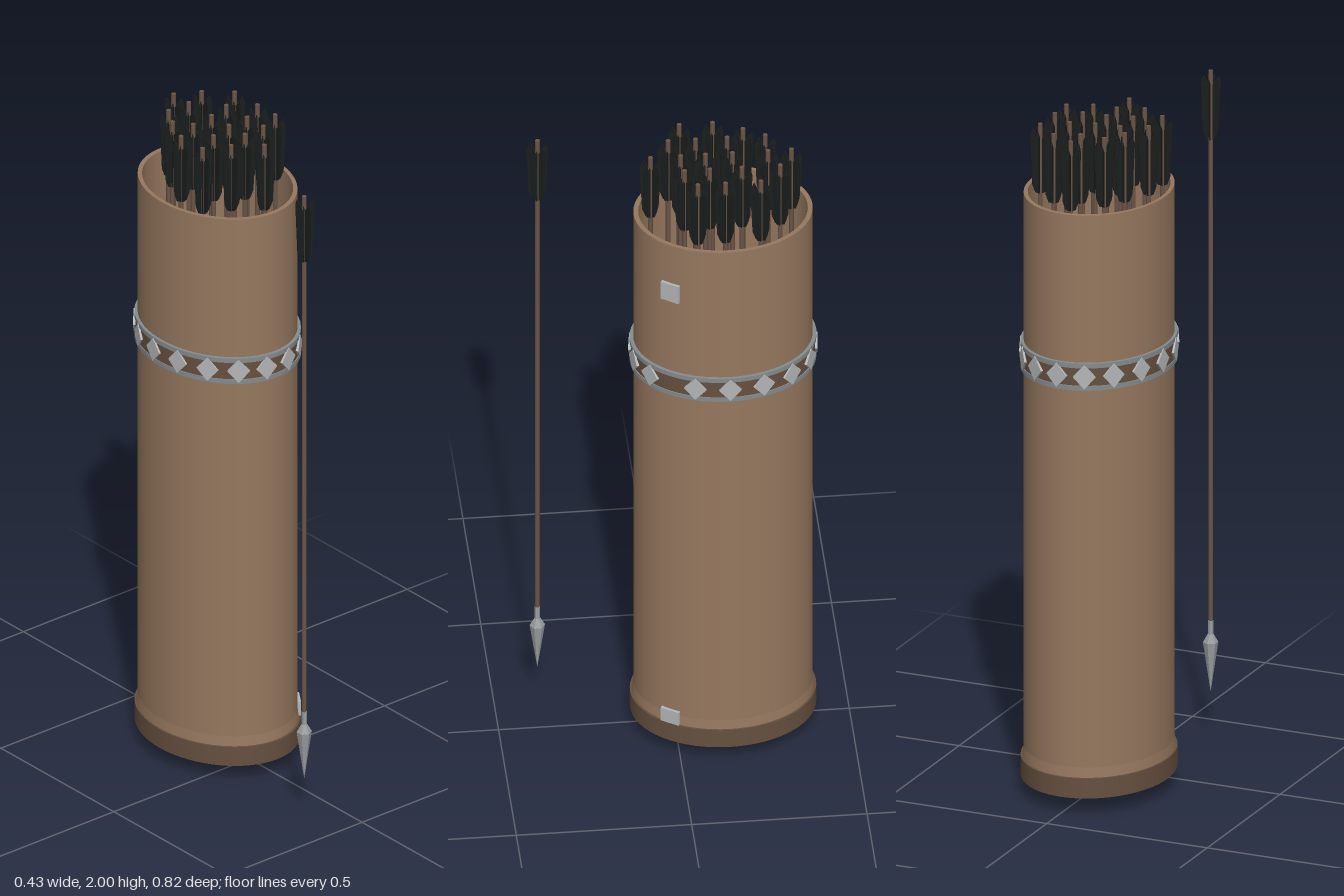
import * as THREE from 'three';
import { mergeGeometries } from 'three/addons/utils/BufferGeometryUtils.js';

const mat = (color, extra = {}) => new THREE.MeshStandardMaterial({ color, ...extra });
const leather = mat(0x96785f);
const darkLeather = mat(0x66503f);
const metal = mat(0x858b8e);
const brightMetal = mat(0xb4b6b7);
const steel = mat(0x9a9ea0, { flatShading: true });
const wood = mat(0x6b5547);
const feather = mat(0x1b1e1e, { side: THREE.DoubleSide });

const RX = 0.205, RZ = 0.255, CZ = -0.14;

function add(parent, name, geometry, material) {
  const mesh = new THREE.Mesh(geometry, material);
  mesh.name = name;
  parent.add(mesh);
  return mesh;
}

// Oval ring or shell; each profile segment is its own lathe so edges stay sharp.
// Profile radii are in units of the oval's radius.
function oval(profile) {
  const parts = [];
  for (let i = 0; i + 1 < profile.length; i++) {
    const pair = [profile[i], profile[i + 1]].map(([r, y]) => new THREE.Vector2(r, y));
    parts.push(new THREE.LatheGeometry(pair, 64).scale(RX, 1, RZ));
  }
  return mergeGeometries(parts);
}

const band = (r, y0, y1) => oval([[0.98, y0], [r, y0], [r, y1], [0.98, y1]]);

// Put a flat piece on the oval wall at parameter angle t (0 = left side, 90 = front)
function onWall(mesh, degrees, y, factor) {
  const t = THREE.MathUtils.degToRad(degrees);
  mesh.position.set(RX * factor * Math.cos(t), y, RZ * factor * Math.sin(t));
  mesh.rotation.y = Math.atan2(Math.cos(t) / RX, Math.sin(t) / RZ);
}

function createQuiver() {
  const quiver = new THREE.Group();
  quiver.name = 'quiver';
  quiver.position.z = CZ;

  // Hollow tube with rim, inner wall and floor
  add(quiver, 'body', oval([
    [1.02, 0.1], [1, 0.14], [1, 1.8], [0.945, 1.8], [0.945, 0.1], [0, 0.1],
  ]), leather);

  // Base cap with shallow pointed underside
  add(quiver, 'baseCap', oval([
    [0, 0], [0.15, 0.006], [1.04, 0.05], [1.04, 0.11], [0.98, 0.11],
  ]), darkLeather);

  // Decorated belt
  add(quiver, 'belt', band(1.03, 1.28, 1.355), darkLeather);
  add(quiver, 'beltLowerEdge', band(1.042, 1.277, 1.291), metal);
  add(quiver, 'beltUpperEdge', band(1.042, 1.344, 1.358), metal);

  const diamond = new THREE.Shape([[0, -0.037], [0.032, 0], [0, 0.037], [-0.032, 0]]
    .map(([x, y]) => new THREE.Vector2(x, y)));
  const stud = new THREE.ExtrudeGeometry(diamond, { depth: 0.008, bevelEnabled: false })
    .translate(0, 0, -0.004);
  const angles = [22];
  for (let i = 0; i < 15; i++) angles.push(56.25 + i * 21.7);
  for (const a of angles) onWall(add(quiver, 'beltDiamond', stud, brightMetal), a, 1.318, 1.035);

  // Strap plates
  for (const [y, h] of [[1.638, 0.06], [0.133, 0.045]]) {
    const plate = add(quiver, 'strapPlate', new THREE.BoxGeometry(0.058, h, 0.012), brightMetal);
    onWall(plate, 40, y, 1.01);
  }
  return quiver;
}

// Shared arrow geometry
function arrowParts() {
  const shaft = new THREE.CylinderGeometry(0.007, 0.007, 1.68, 8).translate(0, 1.16, 0);
  const head = new THREE.LatheGeometry(
    [[0, 0.13], [0.022, 0.28], [0.008, 0.305], [0.008, 0.345], [0, 0.345]]
      .map(([r, y]) => new THREE.Vector2(r, y)), 6);
  const vane = new THREE.Shape([
    [0.004, 1.79], [0.015, 1.795], [0.024, 1.82], [0.031, 1.965], [0.026, 1.98], [0.004, 1.955],
  ].map(([x, y]) => new THREE.Vector2(x, y)));
  const blades = [0, 12, 47, 135, 180, 258, 315].slice(1).concat(92).map((deg) =>
    new THREE.ExtrudeGeometry(vane, { depth: 0.003, bevelEnabled: false })
      .translate(0, 0, -0.0015)
      .rotateY(-THREE.MathUtils.degToRad(deg)));
  return [
    ['shaft', shaft, wood],
    ['arrowhead', head, steel],
    ['fletching', mergeGeometries(blades), feather],
  ];
}

export function createModel() {
  const model = new THREE.Group();
  model.name = 'quiverWithArrows';
  model.add(createQuiver());

  const parts = arrowParts();
  const placeArrow = (name, x, z) => {
    const arrow = new THREE.Group();
    arrow.name = name;
    arrow.position.set(x, 0, z);
    for (const [part, geometry, material] of parts) add(arrow, part, geometry, material);
    model.add(arrow);
  };

  // Arrows in the quiver, column by column: x, then z of each arrow
  const columns = [
    [-0.147, [-0.125, -0.03]],
    [-0.11, [-0.208]],
    [-0.074, [-0.268, -0.159, -0.069, 0.009]],
    [0, [-0.335, -0.268, -0.167, -0.09, -0.019, 0.067]],
    [0.071, [-0.296, -0.187, -0.095, -0.023]],
    [0.141, [-0.234, -0.133, -0.054]],
  ];
  for (const [x, zs] of columns) for (const z of zs) placeArrow('quiverArrow', x, z);

  // Single arrow standing apart in front
  placeArrow('looseArrow', -0.112, 0.378);
  return model;
}
